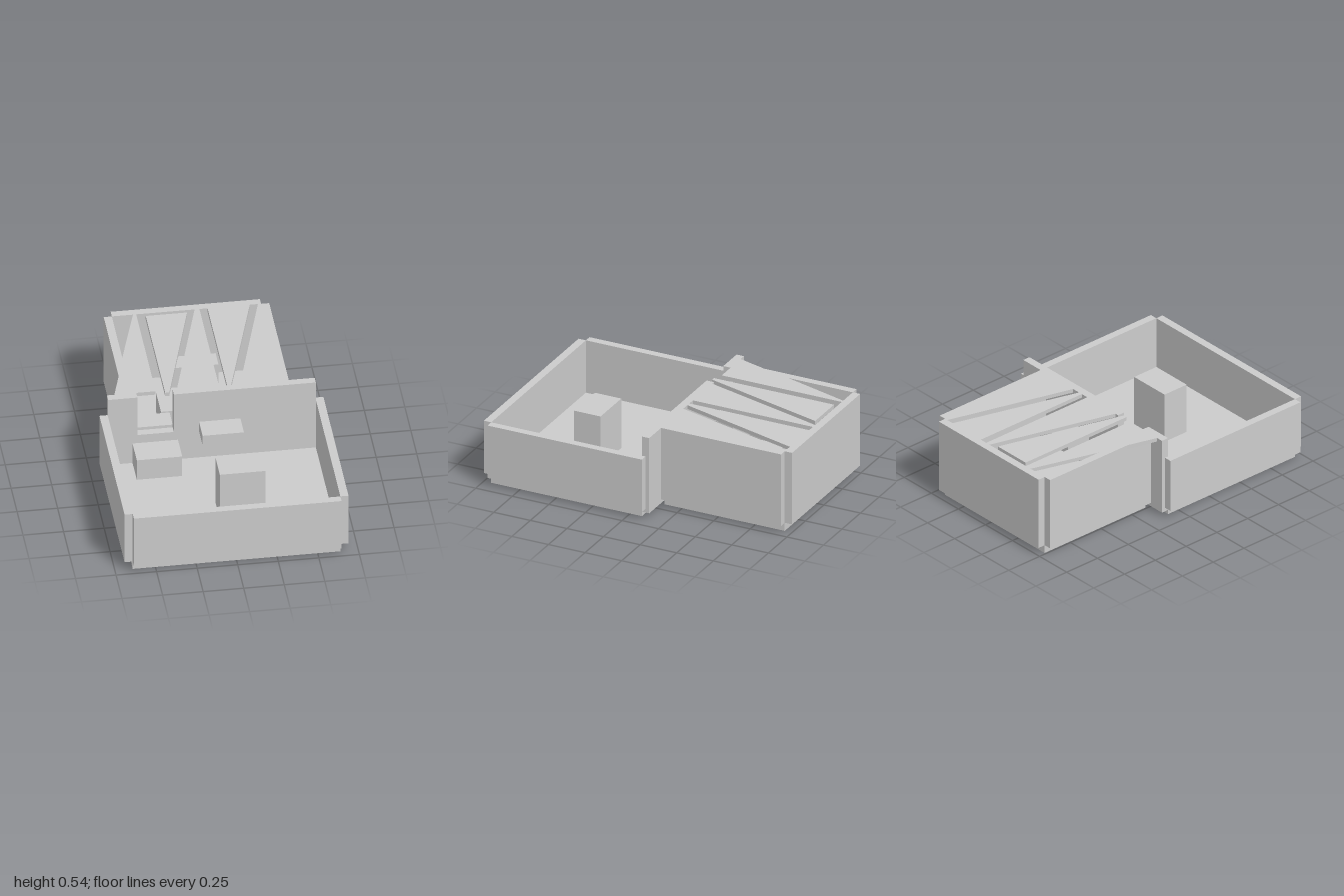
import * as THREE from 'three';

const material = new THREE.MeshStandardMaterial({ color: 0xcccccc, flatShading: true });

export function createModel() {
  const group = new THREE.Group();

  const add = (name, geometry) => {
    const mesh = new THREE.Mesh(geometry, material);
    mesh.name = name;
    group.add(mesh);
    return mesh;
  };

  // Box given by its limits on each axis
  const block = (name, [x0, x1], [y0, y1], [z0, z1]) =>
    add(name, new THREE.BoxGeometry(x1 - x0, y1 - y0, z1 - z0))
      .position.set((x0 + x1) / 2, (y0 + y1) / 2, (z0 + z1) / 2);

  // Flat plate from an [x, z] outline
  const plate = (name, outline, y, thickness) => {
    const shape = new THREE.Shape(outline.map(([x, z]) => new THREE.Vector2(x, -z)));
    const geometry = new THREE.ExtrudeGeometry(shape, { depth: thickness, bevelEnabled: false });
    add(name, geometry.rotateX(-Math.PI / 2)).position.y = y;
  };

  const base = 0.055, low = 0.41, high = 0.54, roofY = 0.515;

  // Open front tray
  block('frontFloor', [-0.64, 0.64], [0, base], [-0.08, 0.95]);
  block('frontWall', [-0.64, 0.64], [base, low], [0.95, 1]);
  block('leftTrayWall', [0.64, 0.69], [base, low], [-0.105, 0.95]);
  block('rightTrayWall', [-0.69, -0.64], [base, low], [-0.105, 0.95]);

  // Dividing wall with an open notch in its top edge
  const wall = new THREE.Shape([
    [-0.64, 0.03], [0.64, 0.03], [0.64, high], [-0.235, high],
    [-0.235, 0.26], [-0.46, 0.26], [-0.46, high], [-0.64, high],
  ].map(([x, y]) => new THREE.Vector2(x, y)));
  add('dividingWall', new THREE.ExtrudeGeometry(wall, { depth: 0.05, bevelEnabled: false }))
    .position.z = -0.13;

  // Blocks in the tray
  block('lowBlock', [-0.49, -0.21], [base, 0.2], [-0.08, 0.1]);
  block('wallShelf', [-0.08, 0.175], [0.25, 0.32], [-0.08, 0.07]);
  block('tallBlock', [-0.05, 0.23], [base, 0.39], [0.41, 0.59]);

  // Rear compartment
  block('rearFloor', [-0.49, 0.43], [0, base], [-0.95, -0.13]);
  block('backWall', [-0.49, 0.43], [base, high], [-1, -0.95]);
  block('leftRearWall', [0.43, 0.48], [base, roofY], [-0.95, -0.13]);
  block('rightRearWall', [-0.54, -0.49], [base, roofY], [-0.95, -0.13]);

  // Blocks inside the rear compartment
  block('notchBlock', [-0.46, -0.235], [base, 0.28], [-0.26, -0.13]);
  block('innerShelf', [0, 0.26], [0.25, 0.32], [-0.33, -0.16]);
  block('innerBlock', [-0.27, -0.135], [base, 0.2], [-0.6, -0.385]);
  block('backBlock', [-0.15, 0.15], [base, 0.2], [-0.95, -0.83]);

  // Roof panels, separated by straight and slanted slots
  const panels = [
    [[-0.54, -0.95], [-0.49, -0.95], [-0.49, -0.51], [-0.36, -0.95],
      [-0.34, -0.95], [-0.34, -0.13], [-0.595, -0.13], [-0.54, -0.32]],
    [[-0.285, -0.925], [-0.03, -0.925], [-0.26, -0.105], [-0.285, -0.105]],
    [[0.02, -0.95], [0.05, -0.95], [0.05, -0.13], [-0.21, -0.13]],
    [[0.1, -0.95], [0.36, -0.95], [0.125, -0.13], [0.1, -0.13]],
    [[0.41, -0.95], [0.48, -0.95], [0.48, -0.13], [0.18, -0.13]],
  ];
  panels.forEach((outline, i) => plate(`roofPanel${i + 1}`, outline, roofY, high - roofY));

  return group;
}
